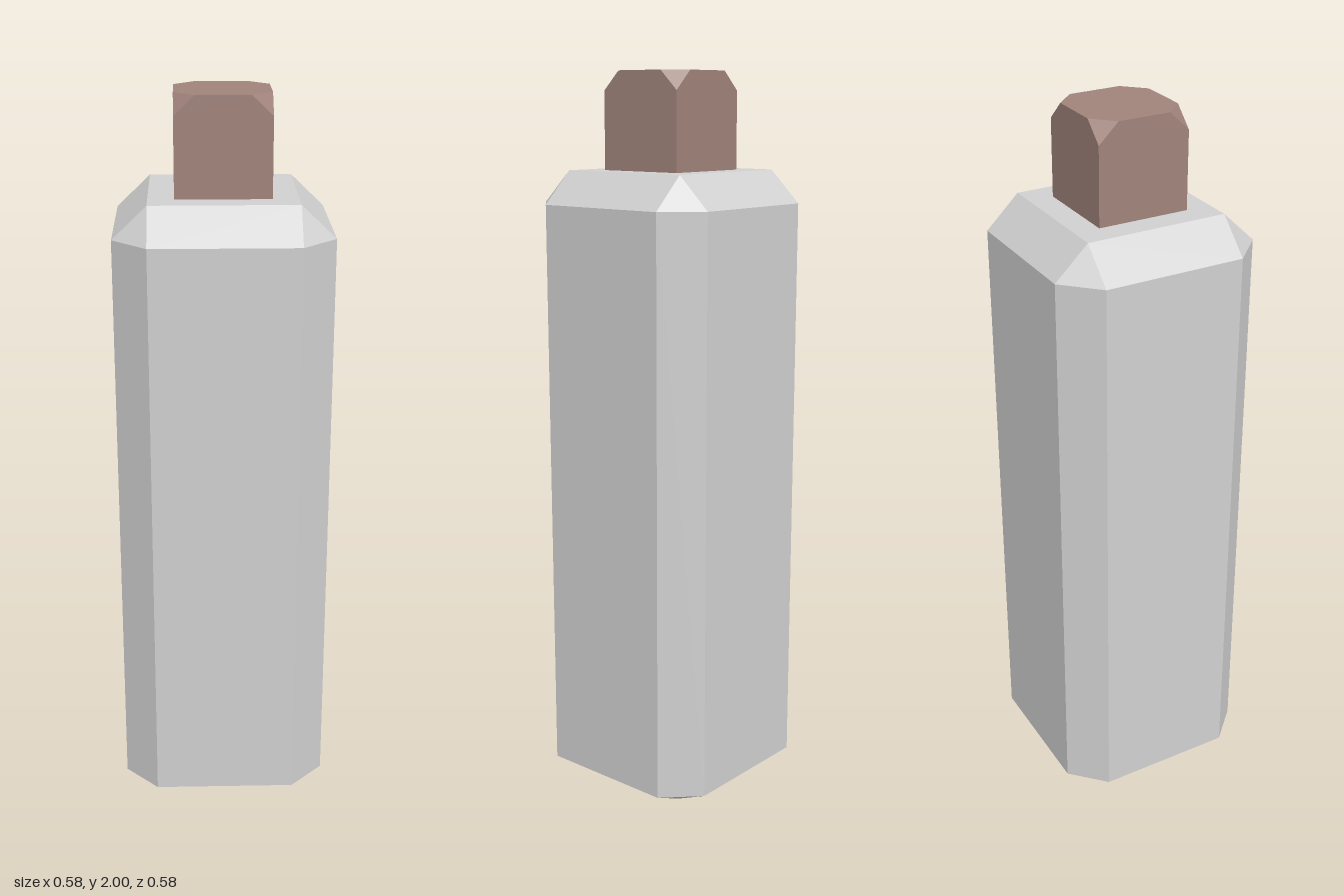
import * as THREE from 'three';
import { toCreasedNormals } from 'three/addons/utils/BufferGeometryUtils.js';
import { ConvexGeometry } from 'three/addons/geometries/ConvexGeometry.js';

// Repeats a point in all four corners, mirrored across x and z
const corners = (points) => points.flatMap(([x, y, z]) =>
  [[1, 1], [1, -1], [-1, 1], [-1, -1]].map(([sx, sz]) => new THREE.Vector3(x * sx, y, z * sz)));

export function createModel() {
  const model = new THREE.Group();
  const grey = new THREE.MeshStandardMaterial({ name: 'light grey', color: 0xd0d0d0 });
  const brown = new THREE.MeshStandardMaterial({ name: 'dusty brown', color: 0xa0837b });

  const add = (name, points, material) => {
    // Crease angle keeps chamfers crisp and the shallow base smooth
    const geometry = toCreasedNormals(new ConvexGeometry(corners(points)), 0.58);
    const mesh = new THREE.Mesh(geometry, material);
    mesh.name = name;
    model.add(mesh);
  };

  // Chamfered body: outer half width and inner flat half width
  const w = 0.288, f = 0.196;
  add('body', [
    [f, 0, f],
    [w, 0.04, f], [f, 0.04, w],
    [w, 1.65, f], [f, 1.65, w],
    [f, 1.738, f],
  ], grey);

  // Square cap with its four upper corners cut off
  const c = 0.127, k = 0.072;
  add('cap', [
    [c, 1.738, c],
    [c, 1.948, c],
    [c, 2, k], [k, 2, c],
  ], brown);

  return model;
}
